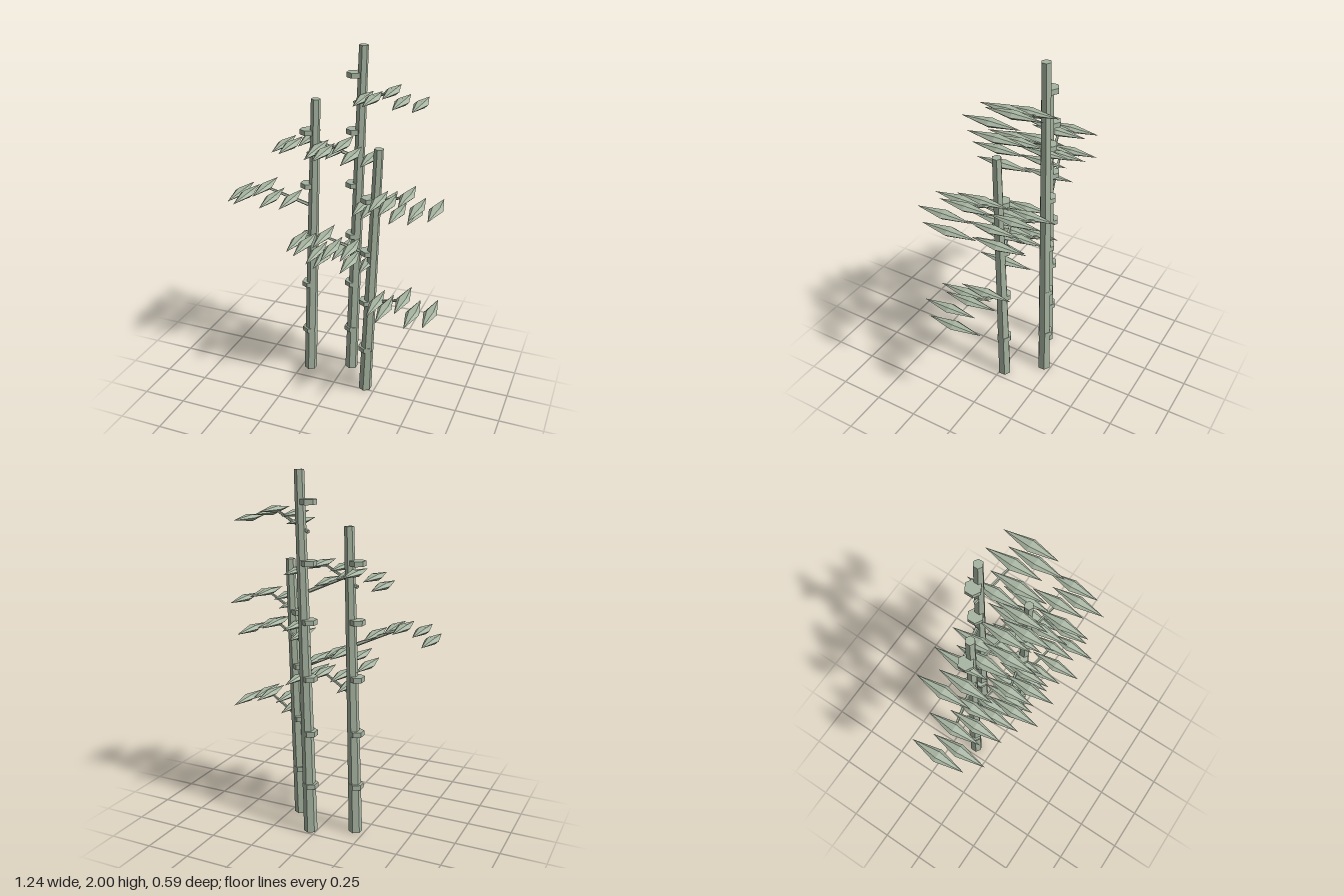
import * as THREE from 'three';

export function createModel() {
  const group = new THREE.Group();
  group.name = 'bambooGrove';
  const sage = new THREE.MeshStandardMaterial({ color: 0xa8b5a2, flatShading: true });
  sage.name = 'sageGreen';

  function add(parent, name, geometry) {
    const mesh = new THREE.Mesh(geometry, sage);
    mesh.name = name;
    parent.add(mesh);
    return mesh;
  }

  // Tapered straight rod between two points
  function rod(parent, name, from, to, r0, r1, sides) {
    const dir = to.clone().sub(from);
    const mesh = add(parent, name, new THREE.CylinderGeometry(r1, r0, dir.length(), sides));
    mesh.position.copy(from).add(to).multiplyScalar(0.5);
    mesh.quaternion.setFromUnitVectors(new THREE.Vector3(0, 1, 0), dir.normalize());
  }

  const nodeGeometry = new THREE.CylinderGeometry(0.044, 0.044, 0.028, 6);
  // Long flattened six-sided double cone, pointing along z
  const leafGeometry = new THREE.SphereGeometry(1, 6, 2);
  leafGeometry.rotateX(Math.PI / 2);
  leafGeometry.scale(0.038, 0.02, 0.163);

  // Each stalk: foot position, height, and height of its lowest branch
  const stalks = [
    { x: -0.197, z: -0.105, height: 1.715, branch: 0.79 },
    { x: 0.035, z: -0.207, height: 2, branch: 1.075 },
    { x: 0.192, z: -0.022, height: 1.51, branch: 0.585 },
  ];

  for (const s of stalks) {
    const bamboo = new THREE.Group();
    bamboo.name = 'bamboo';
    group.add(bamboo);

    // Leaning stalk
    rod(bamboo, 'stalk', new THREE.Vector3(s.x, 0, s.z),
      new THREE.Vector3(s.x + 0.05, s.height, s.z), 0.038, 0.026, 6);

    // Node rings, stacked straight above the foot
    for (let y = 0.28; y < s.height; y += 0.312) {
      add(bamboo, 'nodeRing', nodeGeometry).position.set(s.x, y, s.z);
    }

    // Three branches on alternating sides, each with a fan of five leaves
    for (let i = 0; i < 3; i++) {
      const side = i === 1 ? -1 : 1;
      const start = new THREE.Vector3(s.x, s.branch + i * 0.306, s.z);
      const tip = start.clone().add(new THREE.Vector3(side * 0.233, 0.1, 0.07));
      rod(bamboo, 'branch', start, tip, 0.011, 0.007, 5);
      for (let k = -2; k <= 2; k++) {
        add(bamboo, 'leaf', leafGeometry).position.set(
          tip.x + k * 0.078,
          tip.y - Math.abs(k) * 0.026,
          tip.z + (k % 2 ? 0.08 : 0)
        );
      }
    }
  }
  return group;
}
